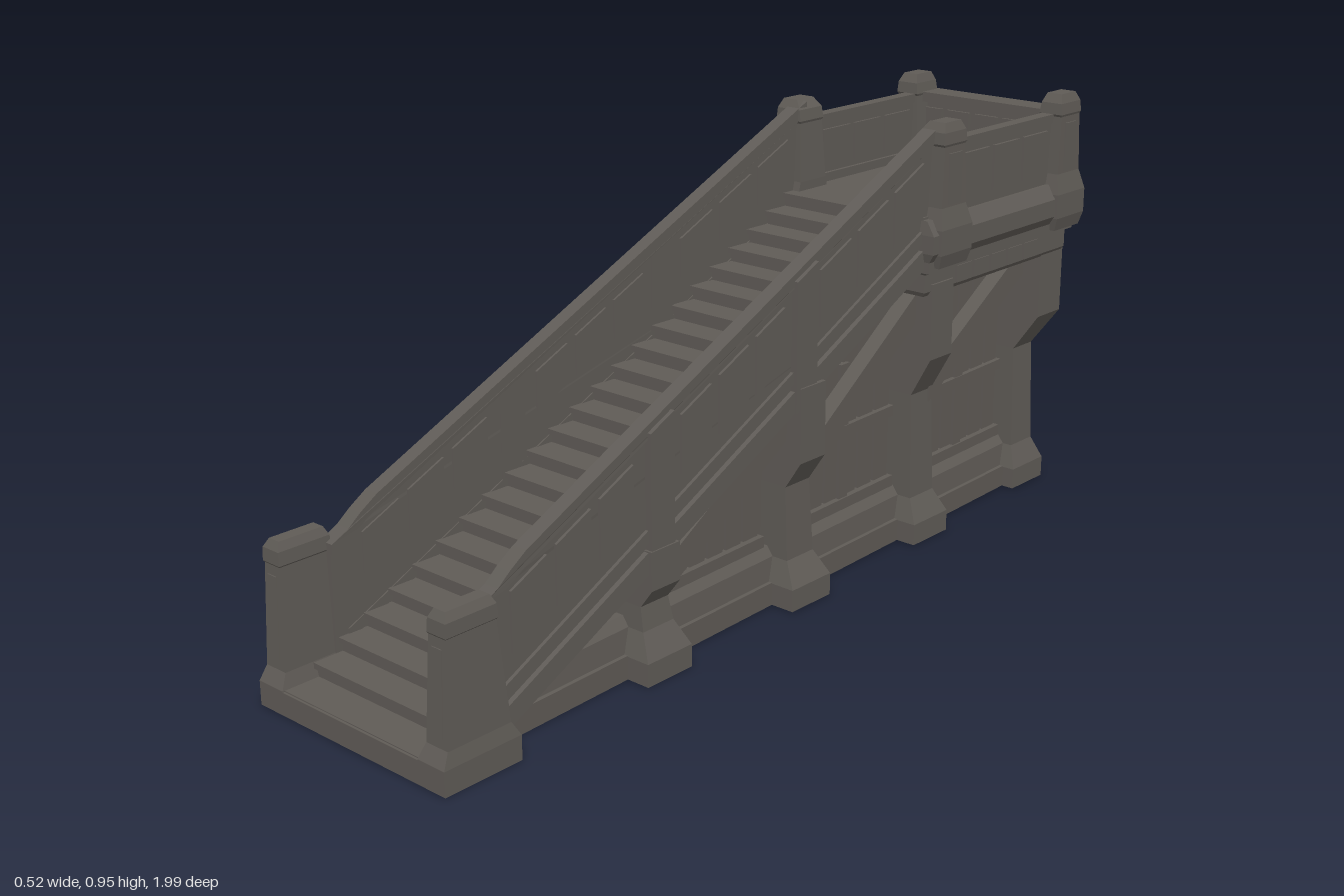
import * as THREE from 'three';

const stone = new THREE.MeshStandardMaterial({ color: 0x5f5b56 });
stone.name = 'dark weathered timber';

// sloping lines of the handrail top and the stringer underside
const railTop = z => 0.72 - 0.463 * z;
const under = z => 0.437 - 0.477 * z;
// balustrades and lower body both close in towards the back
const railTaper = z => -0.02 * THREE.MathUtils.clamp((0.83 - z) / 1.3, 0, 1);
const bodyTaper = z => -0.033 * (0.8 - z);

export function createModel() {
  const root = new THREE.Group();
  root.name = 'staircase';
  let parent = root;

  const add = (name, geo) => {
    const mesh = new THREE.Mesh(geo, stone);
    mesh.name = name;
    parent.add(mesh);
    return mesh;
  };
  const group = name => {
    parent = new THREE.Group();
    parent.name = name;
    root.add(parent);
  };
  // shift both sides of a part in x by a rule of z
  const narrow = (mesh, rule) => {
    const p = mesh.geometry.attributes.position;
    for (let i = 0; i < p.count; i++) p.setX(i, p.getX(i) + Math.sign(p.getX(i)) * rule(p.getZ(i)));
    mesh.geometry.computeVertexNormals();
  };
  const box = (name, x0, x1, y0, y1, z0, z1) => {
    const g = new THREE.BoxGeometry(Math.abs(x1 - x0), y1 - y0, Math.abs(z1 - z0));
    g.translate((x0 + x1) / 2, (y0 + y1) / 2, (z0 + z1) / 2);
    return add(name, g);
  };
  // side outline [z, y] extruded across x
  const plate = (name, pts, xa, xb) => {
    const shape = new THREE.Shape(pts.map(p => new THREE.Vector2(p[0], p[1])));
    const g = new THREE.ExtrudeGeometry(shape, { depth: Math.abs(xb - xa), bevelEnabled: false });
    g.rotateY(-Math.PI / 2);
    g.translate(Math.max(xa, xb), 0, 0);
    return add(name, g);
  };
  // stacked rectangles [y, x0, x1, z0, z1] joined into a faceted solid
  const loft = (name, rows, s = 1) => {
    const pos = [];
    const ring = rows.map(([y, a, b, z0, z1]) => {
      const x0 = Math.min(a * s, b * s), x1 = Math.max(a * s, b * s);
      return [[x0, y, z1], [x1, y, z1], [x1, y, z0], [x0, y, z0]];
    });
    const quad = (a, b, c, d) => pos.push(...a, ...b, ...c, ...a, ...c, ...d);
    for (let i = 0; i + 1 < ring.length; i++) {
      for (let k = 0; k < 4; k++) {
        const n = (k + 1) % 4;
        quad(ring[i][k], ring[i][n], ring[i + 1][n], ring[i + 1][k]);
      }
    }
    const t = ring[ring.length - 1], b = ring[0];
    quad(t[0], t[1], t[2], t[3]);
    quad(b[3], b[2], b[1], b[0]);
    const g = new THREE.BufferGeometry();
    g.setAttribute('position', new THREE.Float32BufferAttribute(pos, 3));
    g.computeVertexNormals();
    return add(name, g);
  };

  // flight of steps with nosings
  group('stairs');
  const n = 23, dy = 0.7 / n, dz = 0.0605;
  const steps = [[0.83, 0], [0.995, 0], [0.995, 0.05]];
  for (let i = 1; i <= n; i++) {
    const z = 0.985 - dz * i, y = 0.05 + dy * i;
    steps.push([z - 0.008, y - dy], [z - 0.008, y - 0.012], [z, y - 0.012], [z, y]);
  }
  steps.push([-0.5, 0.75], [-0.5, 0.64], [-0.42, under(-0.42)], [0.83, 0.042]);
  plate('steps', steps, -0.193, 0.193);
  box('bottomStep', -0.255, 0.255, 0, 0.048, 0.83, 1);

  // recessed core and plinth
  group('base');
  narrow(plate('core', [[0.85, 0], [0.85, 0.04], [-0.42, 0.64], [-0.91, 0.64], [-0.91, 0]], -0.145, 0.145), bodyTaper);
  narrow(box('plinth', -0.192, 0.192, 0, 0.05, -0.96, 0.86), bodyTaper);
  narrow(loft('plinthUpper', [[0.05, -0.183, 0.183, -0.95, 0.8], [0.1, -0.178, 0.178, -0.945, 0.69],
    [0.12, -0.163, 0.163, -0.93, 0.66]]), bodyTaper);

  // landing floor with stepped mouldings
  group('landing');
  loft('landingMoulding', [
    [0.575, -0.2, 0.2, -0.965, -0.43], [0.585, -0.207, 0.207, -0.972, -0.425],
    [0.625, -0.207, 0.207, -0.972, -0.425], [0.63, -0.22, 0.22, -0.98, -0.42],
    [0.655, -0.22, 0.22, -0.98, -0.42], [0.675, -0.234, 0.234, -0.992, -0.415],
    [0.715, -0.234, 0.234, -0.992, -0.415], [0.745, -0.212, 0.212, -0.98, -0.42]]);
  box('landingFloor', -0.2, 0.2, 0.7, 0.75, -0.96, -0.42);
  for (let i = -2; i <= 2; i++) box('backDentil', i * 0.075 - 0.033, i * 0.075 + 0.033, 0.588, 0.628, -0.979, -0.96);

  // rear parapet with panels on both faces
  group('rearParapet');
  box('rearWall', -0.19, 0.19, 0.72, 0.89, -0.975, -0.94);
  box('rearCap', -0.19, 0.19, 0.885, 0.908, -0.985, -0.92);
  for (let i = -2; i <= 2; i++) {
    const x = i * 0.078;
    box('rearPanelInner', x - 0.032, x + 0.032, 0.785, 0.87, -0.94, -0.933);
    box('rearPanelOuter', x - 0.03, x + 0.03, 0.77, 0.87, -0.982, -0.975);
  }
  box('rearSkirting', -0.18, 0.18, 0.75, 0.77, -0.94, -0.928);

  // back wall with planks and an arched niche ornament
  group('backWall');
  for (let i = -1; i <= 1; i++) box('backPlank', i * 0.046 - 0.021, i * 0.046 + 0.021, 0.1, 0.58, -0.917, -0.91);
  box('backLowRail', -0.08, 0.08, 0.11, 0.145, -0.935, -0.91);
  box('backTopRail', -0.1, 0.1, 0.53, 0.58, -0.94, -0.91);
  box('nicheShaft', -0.016, 0.016, 0.17, 0.39, -0.932, -0.91);
  box('nicheFoot', -0.025, 0.025, 0.16, 0.19, -0.937, -0.91);
  const disc = new THREE.CylinderGeometry(0.028, 0.028, 0.022, 12).rotateX(Math.PI / 2);
  add('nicheHead', disc.translate(0, 0.41, -0.922));
  const ring = new THREE.TorusGeometry(0.028, 0.007, 5, 12);
  add('nicheRing', ring.translate(0, 0.41, -0.933));

  for (const s of [1, -1]) {
    const side = s > 0 ? 'left' : 'right';

    // front newel post
    group(side + 'Newel');
    loft('newel', [
      [0, 0.19, 0.26, 0.82, 1], [0.05, 0.19, 0.26, 0.82, 1], [0.08, 0.198, 0.254, 0.838, 0.985],
      [0.285, 0.206, 0.25, 0.86, 0.976], [0.288, 0.204, 0.253, 0.858, 0.978],
      [0.315, 0.206, 0.252, 0.86, 0.977], [0.332, 0.214, 0.243, 0.868, 0.968]], s);
    loft('newelFrontPanel', [[0.1, 0.212, 0.242, 0.95, 0.987], [0.265, 0.215, 0.241, 0.95, 0.979]], s);

    // sloping balustrade
    group(side + 'Balustrade');
    const rail = (name, pts, xa, xb) => narrow(plate(name, pts, s * xa, s * xb), railTaper);
    const strip = (name, za, zb, ya, yb, xa, xb) =>
      rail(name, [[za, ya(za)], [za, yb(za)], [zb, yb(zb)], [zb, ya(zb)]], xa, xb);
    rail('railWall', [[0.87, 0.03], [0.87, 0.3], [0.83, 0.318], [0.8, 0.342], [0.76, railTop(0.76)],
      [-0.48, railTop(-0.48)], [-0.48, 0.65], [-0.42, under(-0.42)]], 0.193, 0.215);
    rail('railCap', [[0.87, 0.28], [0.87, 0.302], [0.83, 0.322], [0.8, 0.346], [0.76, railTop(0.76) + 0.004],
      [-0.48, railTop(-0.48) + 0.004], [-0.48, railTop(-0.48) - 0.025], [0.76, railTop(0.76) - 0.025],
      [0.81, 0.315]], 0.188, 0.222);
    strip('lowerStringer', 0.84, -0.43, under, z => under(z) + 0.045, 0.145, 0.226);
    strip('upperStringer', 0.84, -0.43, z => under(z) + 0.06, z => under(z) + 0.085, 0.19, 0.222);
    const bays = [[0.81, 0.47], [0.36, 0.03], [-0.06, -0.43]];
    for (const [a, b] of bays) {
      const w = (a - b) / 3;
      for (let k = 0; k < 3; k++) {
        const za = a - k * w - 0.012, zb = a - (k + 1) * w + 0.012;
        strip('outerPanel', za, zb, z => railTop(z) - 0.165, z => railTop(z) - 0.045, 0.215, 0.221);
        strip('innerPanel', za, zb, z => railTop(z) - 0.13, z => railTop(z) - 0.045, 0.188, 0.193);
      }
    }
    for (const z of [0.41, -0.02])
      strip('railPilaster', z + 0.035, z - 0.03, under, z => railTop(z) - 0.01, 0.19, 0.231);

    // landing parapet
    group(side + 'Parapet');
    box('parapetWall', s * 0.182, s * 0.203, 0.72, 0.89, -0.95, -0.48);
    box('parapetCap', s * 0.178, s * 0.208, 0.885, 0.905, -0.94, -0.48);
    box('parapetSkirting', s * 0.174, s * 0.182, 0.75, 0.77, -0.94, -0.5);
    for (let k = 0; k < 3; k++) {
      const z = -0.6 - k * 0.115;
      box('parapetOuterPanel', s * 0.203, s * 0.21, 0.77, 0.87, z - 0.048, z + 0.048);
      box('parapetInnerPanel', s * 0.176, s * 0.182, 0.785, 0.87, z - 0.048, z + 0.048);
    }
    for (let k = 0; k < 5; k++)
      box('sideDentil', s * 0.2, s * 0.214, 0.588, 0.626, -0.59 - k * 0.065, -0.535 - k * 0.065);

    // landing corner posts
    for (const z of [-0.49, -0.938]) {
      const inset = z > -0.6 ? 0.155 : 0.165;
      loft('landingPost', [
        [0.64, 0.17, 0.232, z - 0.05, z + 0.05], [0.67, inset, 0.241, z - 0.055, z + 0.056],
        [0.725, inset, 0.241, z - 0.055, z + 0.056], [0.77, inset, 0.23, z - 0.043, z + 0.045],
        [0.9, inset + 0.008, 0.228, z - 0.037, z + 0.038], [0.905, inset + 0.006, 0.23, z - 0.04, z + 0.041],
        [0.93, inset + 0.01, 0.228, z - 0.038, z + 0.039], [0.95, 0.182, 0.22, z - 0.028, z + 0.028]], s);
      box('landingPostPanel', s * 0.2, s * 0.232, 0.775, 0.885, z - 0.022, z + 0.022);
    }

    // supporting posts that flare outwards: [z, flare start, flare end, top, inner, foot, shaft, head reach]
    group(side + 'Supports');
    const posts = [[0.41, 0.15, 0.19, 0.27, 0.12, 0.235, 0.198, 0.228],
      [-0.035, 0.26, 0.32, 0.48, 0.11, 0.222, 0.183, 0.222],
      [-0.487, 0.34, 0.43, 0.6, 0.09, 0.198, 0.163, 0.212],
      [-0.925, 0.34, 0.43, 0.6, 0.065, 0.167, 0.138, 0.202]];
    for (const [z, f0, f1, top, inner, foot, shaft, head] of posts) {
      const back = z < -0.9 ? 0.012 : 0;
      loft('supportPost', [
        [0, inner, foot, z - 0.063, z + 0.06], [0.048, inner, foot, z - 0.063, z + 0.06],
        [0.1, inner, shaft + 0.008, z - 0.042, z + 0.042], [f0, inner, shaft, z - 0.036, z + 0.04],
        [f1, inner + 0.02, head, z - 0.038 - back, z + 0.04], [top, inner + 0.02, head, z - 0.038 - back, z + 0.04]], s);
    }

    // diagonal braces: [z low, y low, z high, y high]
    for (const [za, ya, zb, yb] of [[0.38, 0.185, 0, 0.4], [-0.06, 0.285, -0.46, 0.55], [-0.51, 0.345, -0.9, 0.57]])
      narrow(plate('brace', [[za, ya - 0.035], [za, ya + 0.03], [zb, yb + 0.03], [zb, yb - 0.035]],
        s * 0.172, s * 0.21), bodyTaper);

    // timber panelling on the recessed walls
    group(side + 'Panelling');
    for (const [a, b] of [[0.36, 0.02], [-0.08, -0.44], [-0.53, -0.88]]) {
      const count = 6, w = (a - b) / count;
      for (let k = 0; k < count; k++) {
        const za = a - k * w - 0.005, zb = a - (k + 1) * w + 0.005;
        const top = z => Math.min(0.575, under(z) + 0.01);
        narrow(plate('wallPlank', [[za, 0.11], [za, top(za)], [zb, top(zb)], [zb, 0.11]], s * 0.145, s * 0.152), bodyTaper);
      }
      narrow(box('lowRail', s * 0.145, s * 0.165, 0.12, 0.145, b, a), bodyTaper);
      if (a < 0.2) {
        narrow(box('middleRail', s * 0.145, s * 0.163, 0.285, 0.31, b, a), bodyTaper);
        narrow(box('middleStud', s * 0.145, s * 0.161, 0.12, 0.45, (a + b) / 2 - 0.015, (a + b) / 2 + 0.015), bodyTaper);
      }
    }
    for (const z of [0.62, 0.55, 0.5])
      narrow(box('frontStud', s * 0.145, s * 0.155, 0.08, under(z) + 0.01, z - 0.02, z + 0.02), bodyTaper);
  }
  return root;
}
